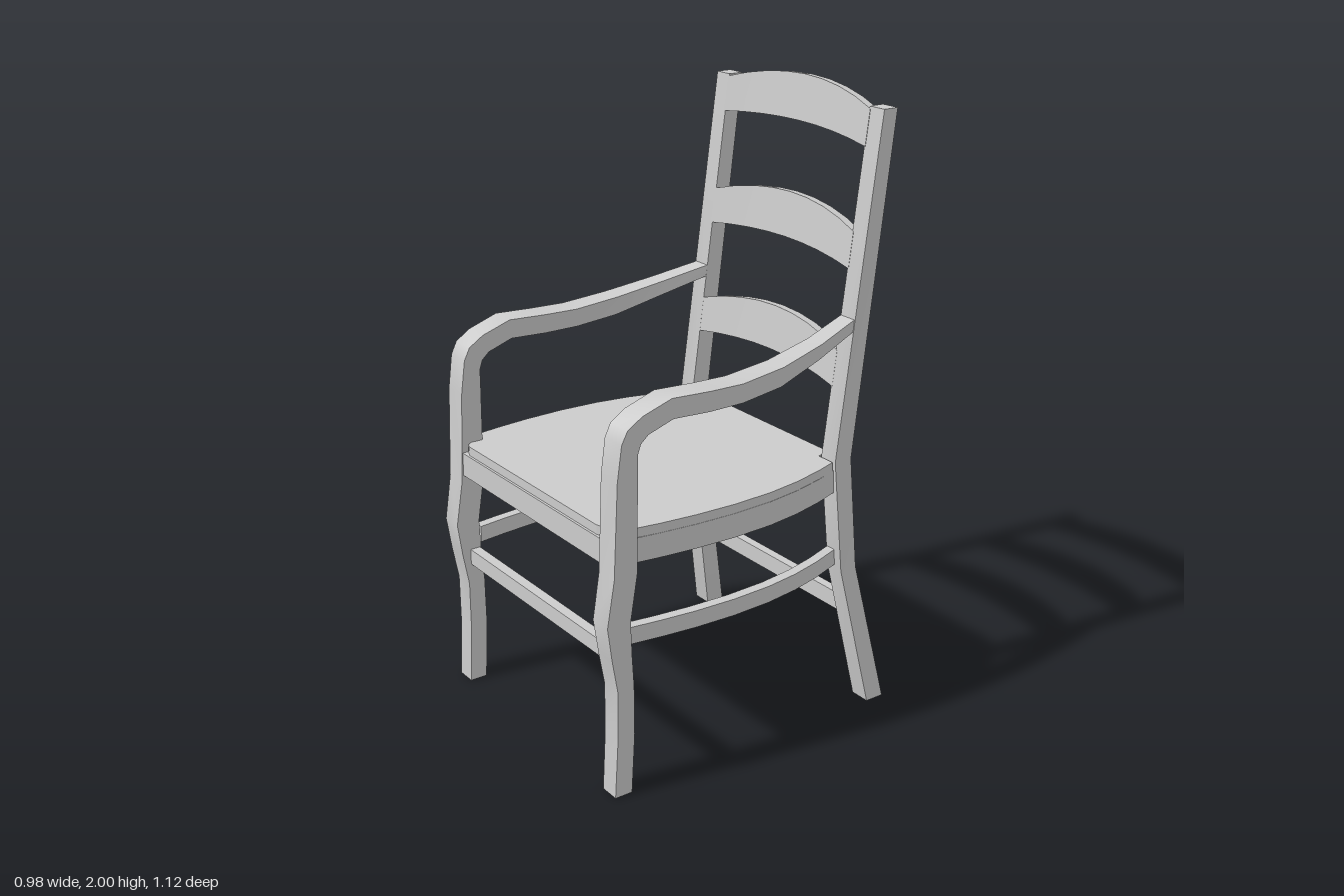
import * as THREE from 'three';
import { toCreasedNormals } from 'three/addons/utils/BufferGeometryUtils.js';

const material = new THREE.MeshStandardMaterial({ color: 0xcccccc });

// Skin a run of four-cornered sections and cap both ends.
function loft(sections) {
  const pos = sections.flat(2);
  const index = [];
  const quad = (a, b, c, d) => index.push(a, b, c, a, c, d);
  for (let i = 0; i < sections.length - 1; i++) {
    for (let j = 0; j < 4; j++) {
      const k = (j + 1) % 4, a = i * 4, b = a + 4;
      quad(a + j, a + k, b + k, b + j);
    }
  }
  const e = (sections.length - 1) * 4;
  quad(3, 2, 1, 0);
  quad(e, e + 1, e + 2, e + 3);
  // Turn the faces outwards if the sections run the other way.
  const p = index.map((i) => new THREE.Vector3().fromArray(pos, i * 3));
  let volume = 0;
  for (let i = 0; i < p.length; i += 3) volume += p[i].dot(p[i + 1].clone().cross(p[i + 2]));
  if (volume < 0) index.reverse();
  const geo = new THREE.BufferGeometry();
  geo.setAttribute('position', new THREE.Float32BufferAttribute(pos, 3));
  geo.setIndex(index);
  return toCreasedNormals(geo, 0.6);
}

export function createModel() {
  const chair = new THREE.Group();
  chair.name = 'ladderBackArmchair';

  const add = (name, geo) => {
    const mesh = new THREE.Mesh(geo, material);
    mesh.name = name;
    chair.add(mesh);
    return mesh;
  };
  const box = (name, w, y0, y1, z0, z1) =>
    add(name, new THREE.BoxGeometry(w, y1 - y0, z1 - z0)).position.set(0, (y0 + y1) / 2, (z0 + z1) / 2);

  // Rows: [z, y] of the outer edge, [z, y] of the inner edge, inner x, outer x.
  const profileBar = (rows, s) => loft(rows.map(([zo, yo, zi, yi, xi, xo]) => [
    [s * xi, yo, zo], [s * xo, yo, zo], [s * xo, yi, zi], [s * xi, yi, zi],
  ]));

  // Front leg that bends over into the arm.
  const legAndArm = [
    [0.53, 0, 0.47, 0, 0.405, 0.472],
    [0.52, 0.2, 0.46, 0.2, 0.405, 0.474],
    [0.52, 0.36, 0.462, 0.36, 0.405, 0.476],
    [0.54, 0.47, 0.47, 0.47, 0.405, 0.478],
    [0.556, 0.58, 0.475, 0.58, 0.404, 0.48],
    [0.532, 0.73, 0.452, 0.73, 0.403, 0.482],
    [0.52, 1.03, 0.45, 1.03, 0.402, 0.485],
    [0.505, 1.14, 0.45, 1.1, 0.402, 0.486],
    [0.485, 1.18, 0.44, 1.13, 0.402, 0.487],
    [0.435, 1.212, 0.415, 1.153, 0.402, 0.488],
    [0.335, 1.245, 0.33, 1.182, 0.402, 0.49],
    [0.2, 1.238, 0.2, 1.176, 0.402, 0.491],
    [0.08, 1.235, 0.08, 1.176, 0.402, 0.489],
    [-0.08, 1.25, -0.07, 1.19, 0.397, 0.477],
    [-0.25, 1.28, -0.24, 1.232, 0.378, 0.447],
    [-0.41, 1.317, -0.41, 1.28, 0.345, 0.408],
  ];

  // Back leg and back post, splayed at the foot.
  const backPost = [
    [-0.47, 0, -0.537, 0, 0.405, 0.475],
    [-0.38, 0.48, -0.442, 0.48, 0.358, 0.424],
    [-0.35, 0.86, -0.415, 0.86, 0.345, 0.412],
    [-0.495, 1.955, -0.548, 1.955, 0.345, 0.41],
  ];

  // Bowed rail following the side of the seat: [z, outer x].
  const sideCurve = [[0.46, 0.455], [0.36, 0.469], [0.24, 0.481], [0.1, 0.486],
    [-0.04, 0.479], [-0.16, 0.46], [-0.27, 0.431], [-0.38, 0.392]];
  const sideRail = (s, y0, y1, t) => loft(sideCurve.map(([z, x]) => [
    [s * x, y0, z], [s * x, y1, z], [s * (x - t), y1, z], [s * (x - t), y0, z],
  ]));

  for (const [side, s] of [['left', 1], ['right', -1]]) {
    add(side + 'FrontLegAndArm', profileBar(legAndArm, s));
    add(side + 'BackPost', profileBar(backPost, s));
    add(side + 'SeatRail', sideRail(s, 0.752, 0.83, 0.05));
    add(side + 'Stretcher', sideRail(s, 0.492, 0.547, 0.035));
  }

  // Cross rails and stretchers.
  box('frontSeatRail', 0.82, 0.752, 0.83, 0.47, 0.525);
  box('backSeatRail', 0.72, 0.752, 0.83, -0.4, -0.36);
  box('frontStretcher', 0.82, 0.43, 0.483, 0.475, 0.51);
  box('backStretcher', 0.75, 0.308, 0.367, -0.452, -0.42);

  // Seat panel, notched round the posts.
  const half = [[0.37, 0.517], [0.39, 0.51], [0.402, 0.495], [0.402, 0.45],
    ...sideCurve.slice(0, -1).map(([z, x]) => [x - 0.001, Math.min(z, 0.45)]),
    [0.405, -0.345], [0.338, -0.345], [0.325, -0.395]];
  const outline = [...half, ...half.map(([x, z]) => [-x, z]).reverse()];
  const shape = new THREE.Shape(outline.map(([x, z]) => new THREE.Vector2(x, -z)));
  const seat = new THREE.ExtrudeGeometry(shape, { depth: 0.032, bevelEnabled: false });
  add('seat', seat.rotateX(-Math.PI / 2)).position.y = 0.828;

  // Arched back slats, bowed to the rear and leaning with the posts.
  const slats = [[1.835, 1.855, 1.948, 2.0], [1.463, 1.485, 1.578, 1.63], [1.09, 1.113, 1.205, 1.257]];
  slats.forEach(([lowEnd, lowMid, topEnd, topMid], n) => {
    const sections = [];
    for (let i = 0; i <= 8; i++) {
      const u = i / 4 - 1, arch = 1 - u * u, x = u * 0.35;
      const low = lowEnd + (lowMid - lowEnd) * arch, top = topEnd + (topMid - topEnd) * arch;
      const front = (y) => -0.35 - (y - 0.86) * 0.131 - 0.028 * arch;
      sections.push([
        [x, low, front(low)], [x, top, front(top)],
        [x, top - 0.004, front(top) - 0.032], [x, low - 0.004, front(low) - 0.032],
      ]);
    }
    add('backSlat' + (n + 1), loft(sections));
  });

  return chair;
}
